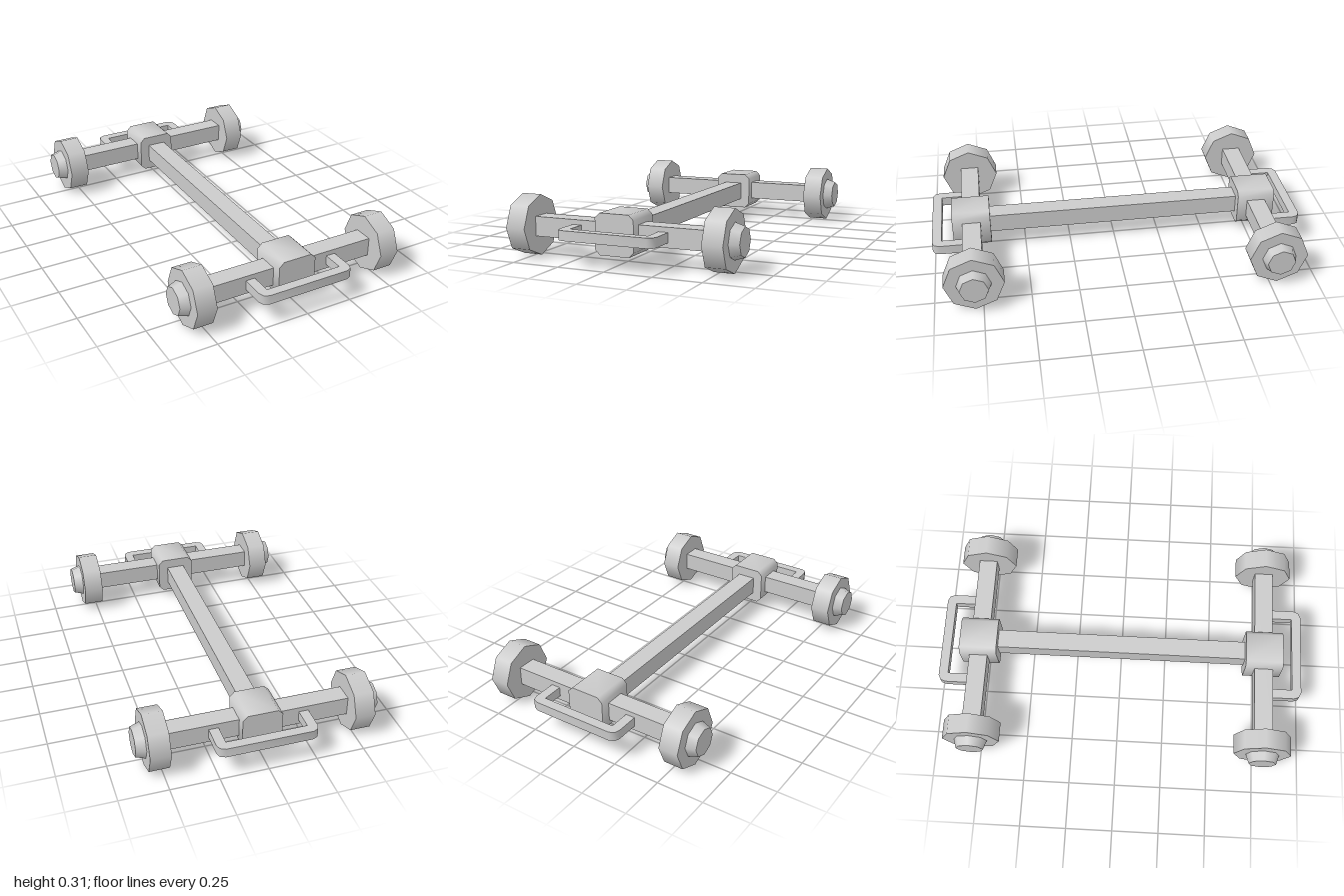
import * as THREE from 'three';
import { toCreasedNormals } from 'three/addons/utils/BufferGeometryUtils.js';

const material = new THREE.MeshStandardMaterial({ color: 0xcccccc });
const AXLE_Y = 0.155;
const AXLE_Z = 0.79;

function addMesh(parent, name, geometry, x = 0, y = 0, z = 0) {
  const mesh = new THREE.Mesh(geometry, material);
  mesh.name = name;
  mesh.position.set(x, y, z);
  parent.add(mesh);
  return mesh;
}

// Extrudes a 2D outline along z, centred, with softly shaded bevelled corners
function extrudeOutline(points, depth) {
  const shape = new THREE.Shape(points.map(([x, y]) => new THREE.Vector2(x, y)));
  const geometry = new THREE.ExtrudeGeometry(shape, { depth, bevelEnabled: false });
  geometry.translate(0, 0, -depth / 2);
  return toCreasedNormals(geometry, Math.PI / 3);
}

// Eight-sided wheel with a tapered hub cap, facing outwards along +x
function createWheel() {
  const wheel = new THREE.Group();
  const tyre = new THREE.CylinderGeometry(0.155, 0.155, 0.105, 8).rotateZ(-Math.PI / 2);
  const cap = new THREE.CylinderGeometry(0.074, 0.09, 0.05, 8).rotateZ(-Math.PI / 2);
  addMesh(wheel, 'tyre', tyre, 0.5225);
  addMesh(wheel, 'hubCap', cap, 0.6);
  return wheel;
}

// One axle assembly, facing +z
function createAxle() {
  const axle = new THREE.Group();
  addMesh(axle, 'axleBar', new THREE.BoxGeometry(0.94, 0.1, 0.1));

  // Chamfered block joining the axle to the spine
  const h = 0.103, c = 0.078;
  const block = extrudeOutline([
    [h, -c], [h, c], [c, h], [-c, h], [-h, c], [-h, -c], [-c, -h], [c, -h],
  ], 0.205);
  addMesh(axle, 'joint', block);

  // U-shaped bumper loop, drawn flat and then laid horizontal
  const half = [[0.208, 0.045], [0.258, 0.045], [0.258, 0.17], [0.249, 0.197], [0.222, 0.21]];
  const mirrored = half.map(([x, y]) => [-x, y]).reverse();
  const loop = extrudeOutline([...half, ...mirrored, [-0.208, 0.16], [0.208, 0.16]], 0.05);
  addMesh(axle, 'bumper', loop.rotateX(Math.PI / 2));

  // Wheels at both ends
  const left = createWheel();
  left.name = 'leftWheel';
  const right = createWheel();
  right.name = 'rightWheel';
  right.rotation.y = Math.PI;
  axle.add(left, right);
  return axle;
}

export function createModel() {
  const model = new THREE.Group();
  model.name = 'chassis';

  // Long central beam
  addMesh(model, 'spine', new THREE.BoxGeometry(0.1, 0.1, 1.4), 0, AXLE_Y);

  // Front and back axles
  for (const [name, side] of [['frontAxle', 1], ['backAxle', -1]]) {
    const axle = createAxle();
    axle.name = name;
    axle.position.set(0, AXLE_Y, side * AXLE_Z);
    if (side < 0) axle.rotation.y = Math.PI;
    model.add(axle);
  }
  return model;
}
